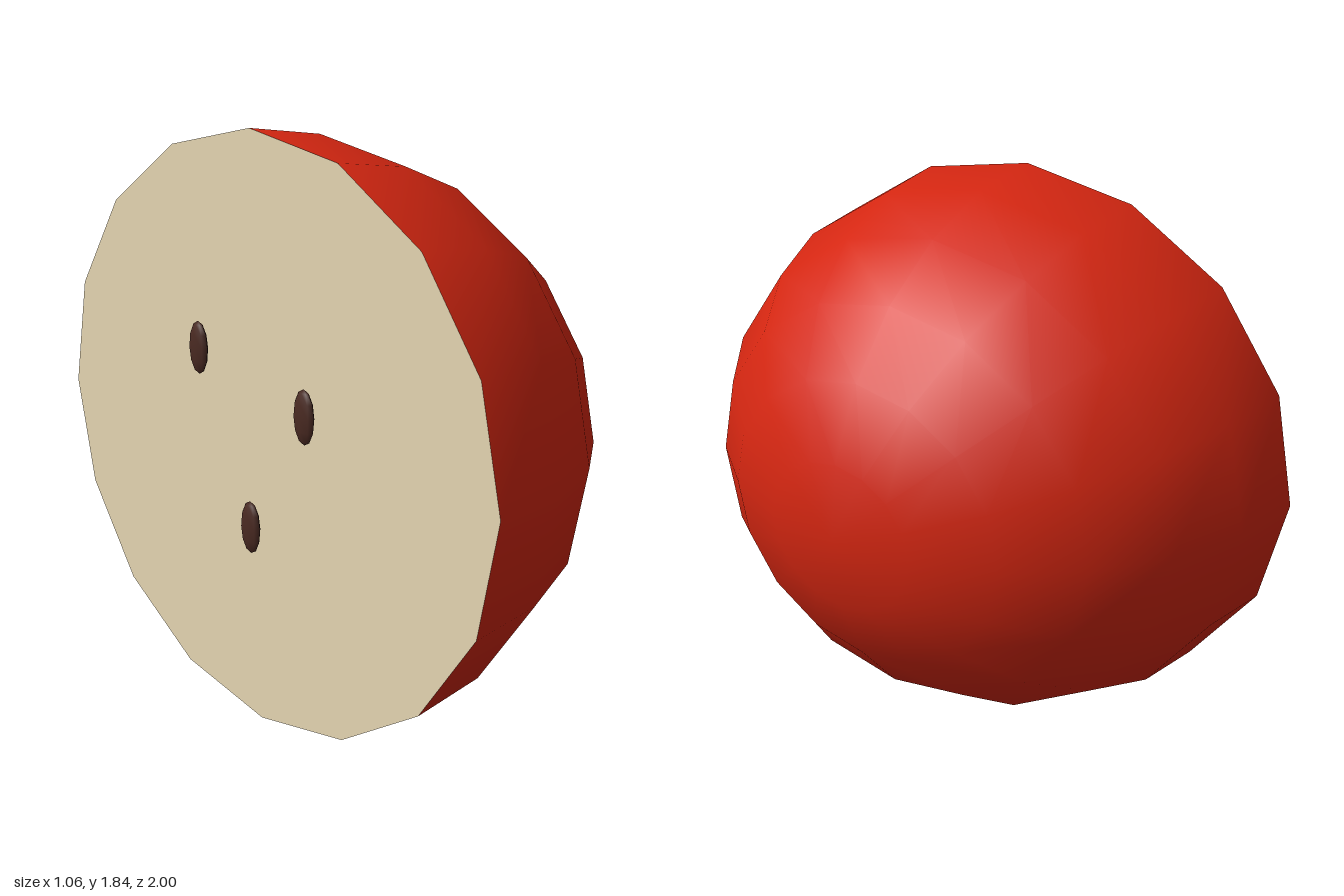
import * as THREE from 'three';

const CUT_X = -0.49, MID_Y = 0.92, DEPTH = 1.02;

export function createModel() {
  const skinMat = new THREE.MeshStandardMaterial({ color: 0xd42611 });
  skinMat.name = 'red skin';
  const fleshMat = new THREE.MeshStandardMaterial({ color: 0xe6d7b3 });
  fleshMat.name = 'cream flesh';
  const seedMat = new THREE.MeshStandardMaterial({ color: 0x4a2a22 });
  seedMat.name = 'dark brown seed';

  const group = new THREE.Group();
  group.name = 'halvedFruit';
  const add = (name, geometry, material, x, y, z) => {
    const mesh = new THREE.Mesh(geometry, material);
    mesh.name = name;
    mesh.position.set(x, y, z);
    group.add(mesh);
  };

  // Rounded skin: a half sphere with its pole on +x, slightly flattened in y
  const skin = new THREE.SphereGeometry(1, 16, 6, 0, Math.PI * 2, 0, Math.PI / 2);
  skin.rotateZ(-Math.PI / 2);
  skin.scale(DEPTH, MID_Y, 1);
  add('skin', skin, skinMat, CUT_X, MID_Y, 0);

  // Flat cut face, looking toward -x
  const flesh = new THREE.CircleGeometry(1, 16);
  flesh.rotateY(-Math.PI / 2);
  flesh.scale(1, MID_Y, 1);
  add('cutFace', flesh, fleshMat, CUT_X, MID_Y, 0);

  // Three flattened seeds just proud of the cut face
  const seed = new THREE.SphereGeometry(1, 8, 6);
  seed.scale(0.017, 0.083, 0.045);
  [[1.165, -0.24], [1.045, 0.26], [0.645, 0]].forEach(([y, z], i) =>
    add(`seed${i + 1}`, seed, seedMat, -0.517, y, z));

  return group;
}
